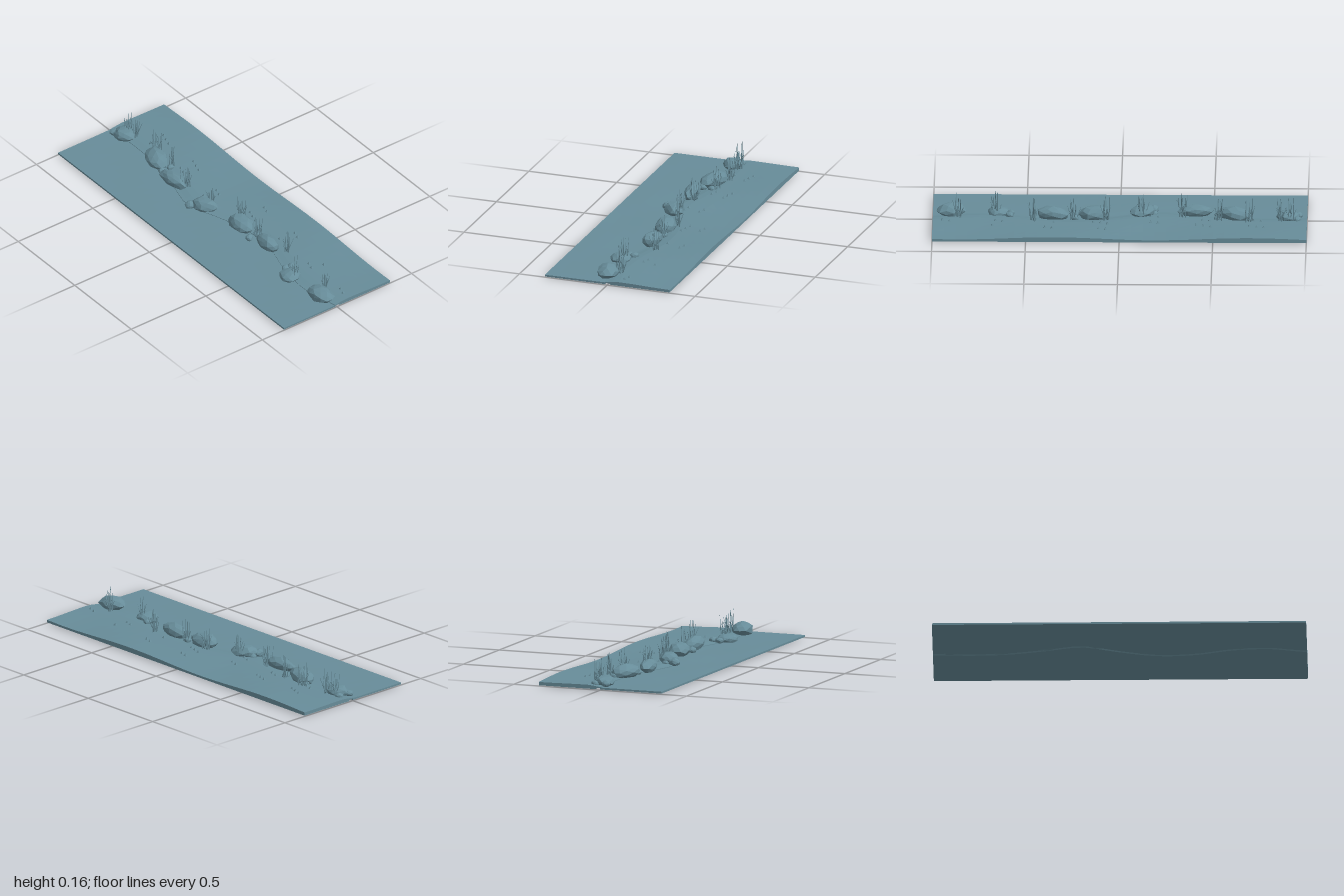
import * as THREE from 'three';
import { mergeVertices } from 'three/addons/utils/BufferGeometryUtils.js';

const material = new THREE.MeshStandardMaterial({ color: 0x678c99, flatShading: true });
const HALF_DEPTH = 0.355;
const STATIONS = 32;

// Small seeded generator, -1 to 1
let seed = 7;
function jitter() {
  seed = (seed * 16807) % 2147483647;
  return (seed / 2147483647) * 2 - 1;
}

// Winding waterline: z as a function of x
const shoreCurve = new THREE.SplineCurve([
  [-1, 0], [-0.8, -0.01], [-0.6, 0.0], [-0.4, 0.04], [-0.2, 0.085], [0, 0.02],
  [0.2, -0.03], [0.4, -0.02], [0.6, 0.035], [0.8, 0.05], [1, 0.01],
].map(([x, z]) => new THREE.Vector2(x, z)));
const shoreZ = (x) => shoreCurve.getPoint((x + 1) / 2).y;

// Gently rolling bank height
function bankY(x, z) {
  const inland = shoreZ(x) - z;
  const rise = THREE.MathUtils.smoothstep(inland, -0.01, 0.07);
  const roll = THREE.MathUtils.smoothstep(inland, 0.08, 0.36);
  return 0.0175 + 0.0085 * rise + roll * (0.0075 * Math.cos(6 * (x + 0.7)) - 0.0015);
}

// Faint ripples that fade out at the slab's rim
function waterY(x, z) {
  return 0.015 + 0.0008 * Math.sin(9 * x + 1) * Math.sin(17 * (z - HALF_DEPTH)) * (1 - x * x);
}

// Closed solid through rings of [z, y], each listed bottom front, bottom back, top back, top front
function loft(ringAt) {
  const positions = [], index = [];
  let n = 0;
  for (let s = 0; s <= STATIONS; s++) {
    const x = -1 + (2 * s) / STATIONS;
    const ring = ringAt(x);
    n = ring.length;
    ring.forEach(([z, y]) => positions.push(x, y, z));
    if (s === STATIONS) break;
    for (let i = 0; i < n; i++) {
      const a = s * n + i, b = s * n + ((i + 1) % n);
      index.push(a, b, a + n, b, b + n, a + n);
    }
  }
  for (const [x, base] of [[-1, 0], [1, STATIONS * n]]) {
    const outline = ringAt(x).map(([z, y]) => new THREE.Vector2(-z, y));
    for (const [a, b, c] of THREE.ShapeUtils.triangulateShape(outline, [])) {
      if (x > 0) index.push(base + a, base + b, base + c);
      else index.push(base + a, base + c, base + b);
    }
  }
  const geometry = new THREE.BufferGeometry();
  geometry.setAttribute('position', new THREE.Float32BufferAttribute(positions, 3));
  geometry.setIndex(index);
  geometry.computeVertexNormals();
  return geometry;
}

function waterGeometry() {
  return loft((x) => {
    const edge = shoreZ(x);
    const ring = [[HALF_DEPTH, 0.005], [edge, 0.005]];
    for (let i = 0; i <= 5; i++) {
      const z = THREE.MathUtils.lerp(edge, HALF_DEPTH, i / 5);
      ring.push([z, waterY(x, z)]);
    }
    return ring;
  });
}

function bankGeometry() {
  return loft((x) => {
    const edge = shoreZ(x) + 0.004;
    // Undercut lip, flat base, then the rolling top
    const ring = [[edge, 0.013], [edge - 0.028, 0.011], [edge - 0.032, 0.005], [-HALF_DEPTH, 0.005]];
    for (let i = 0; i <= 9; i++) {
      const z = THREE.MathUtils.lerp(-HALF_DEPTH, edge, 1 - (1 - i / 9) ** 1.4);
      ring.push([z, bankY(x, z)]);
    }
    return ring;
  });
}

// Faceted boulder: an icosphere with jittered corners
function boulderGeometry() {
  let geometry = new THREE.IcosahedronGeometry(1, 1);
  geometry.deleteAttribute('normal');
  geometry.deleteAttribute('uv');
  geometry = mergeVertices(geometry, 1e-3);
  const p = geometry.attributes.position;
  for (let i = 0; i < p.count; i++) {
    const k = 1 + 0.1 * jitter();
    p.setXYZ(i, p.getX(i) * k, p.getY(i) * k, p.getZ(i) * k);
  }
  geometry.computeVertexNormals();
  return geometry;
}

function addMesh(parent, name, geometry) {
  const mesh = new THREE.Mesh(geometry, material);
  mesh.name = name;
  parent.add(mesh);
  return mesh;
}

function addRock(parent, name, base, [x, z, rx, rz, height, turn]) {
  const rock = addMesh(parent, name, boulderGeometry());
  rock.scale.set(rx, (height - base) / 2, rz);
  rock.position.set(x, (height + base) / 2, z);
  rock.rotation.y = turn;
}

// Thin tapering blade rooted at the origin
function bladeGeometry(radius, height) {
  return new THREE.CylinderGeometry(radius * 0.25, radius, height, 4).translate(0, height / 2, 0);
}

// Clump of upright stems with splayed leaves
function reedClump(x, z) {
  const clump = new THREE.Group();
  clump.name = 'reedClump';
  clump.position.set(x, bankY(x, z) - 0.004, z);
  for (let i = 0; i < 7; i++) {
    const stem = addMesh(clump, 'reedStem', bladeGeometry(0.003, 0.116 + 0.023 * jitter()));
    stem.position.set(0.02 * jitter(), 0, 0.018 * jitter());
    stem.rotation.set(0.07 * jitter(), 0, 0.07 * jitter());
  }
  for (let i = 0; i < 6; i++) {
    const leaf = addMesh(clump, 'reedLeaf', bladeGeometry(0.0032, 0.08 + 0.02 * jitter()));
    leaf.position.set(0.012 * jitter(), 0, 0.01 * jitter());
    leaf.rotation.set(0, i * 1.05 + 0.3 * jitter(), 0.32 + 0.1 * jitter());
  }
  return clump;
}

export function createModel() {
  const model = new THREE.Group();
  model.name = 'shoreline';
  addMesh(model, 'water', waterGeometry());
  addMesh(model, 'bank', bankGeometry());

  // Boulders: x, z, half length, half depth, top height, turn
  const boulders = [
    [-0.9, -0.015, 0.062, 0.054, 0.066, 0.2], [-0.615, -0.01, 0.095, 0.058, 0.084, -0.35],
    [-0.405, 0.035, 0.09, 0.042, 0.08, 0.1], [-0.125, 0.035, 0.072, 0.05, 0.077, 0.5],
    [0.135, -0.015, 0.082, 0.058, 0.085, 0.1], [0.36, -0.02, 0.088, 0.046, 0.085, 0],
    [0.65, 0.05, 0.058, 0.055, 0.056, -0.4], [0.9, 0.033, 0.078, 0.058, 0.083, 0.2],
  ];
  boulders.forEach((b) => addRock(model, 'boulder', 0.004, b));

  // Smaller stones beside them: x, z, radius
  const stones = [
    [-0.95, -0.05, 0.023], [-0.955, 0.015, 0.025], [-0.685, -0.045, 0.022], [-0.525, 0.018, 0.023],
    [-0.52, -0.035, 0.022], [-0.18, 0.09, 0.03], [-0.185, 0.04, 0.02], [0.24, -0.04, 0.023],
    [0.245, 0.015, 0.024], [0.59, -0.005, 0.024], [0.585, 0.03, 0.024],
  ];
  stones.forEach(([x, z, r]) => addRock(model, 'stone', 0.01, [x, z, r, r * 0.85, 0.012 + r * 1.4, x * 9]));

  // Reeds among and behind the rocks
  const reeds = [
    [-0.91, -0.05], [-0.86, -0.062], [-0.69, -0.075], [-0.53, -0.055], [-0.335, 0.0],
    [-0.12, 0.0], [0.075, -0.065], [0.245, -0.04], [0.46, -0.075], [0.665, 0.03], [0.86, -0.03],
  ];
  reeds.forEach(([x, z]) => model.add(reedClump(x, z)));

  // Scattered pebbles on the bank: first x, z and count of each short row
  const pebbleRows = [
    [-0.77, -0.18, 3], [-0.755, -0.08, 2], [-0.485, -0.165, 3], [-0.48, -0.075, 2],
    [-0.205, -0.107, 2], [-0.205, -0.02, 2], [0.075, -0.214, 2], [0.065, -0.128, 3],
    [0.36, -0.203, 2], [0.353, -0.107, 1], [0.68, -0.155, 1], [0.625, -0.096, 2], [0.91, -0.093, 2],
  ];
  for (const [x0, z0, count] of pebbleRows) {
    for (let i = 0; i < count; i++) {
      const x = x0 + i * 0.038, z = z0 + i * 0.012;
      const pebble = addMesh(model, 'pebble', new THREE.ConeGeometry(0.012, 0.014, 4));
      pebble.position.set(x, bankY(x, z) + 0.005, z);
      pebble.rotation.y = Math.PI / 4 + 0.2 * jitter();
    }
  }

  // Rest the lowest rock on y = 0
  const box = new THREE.Box3().setFromObject(model, true);
  model.children.forEach((part) => { part.position.y -= box.min.y; });
  return model;
}
